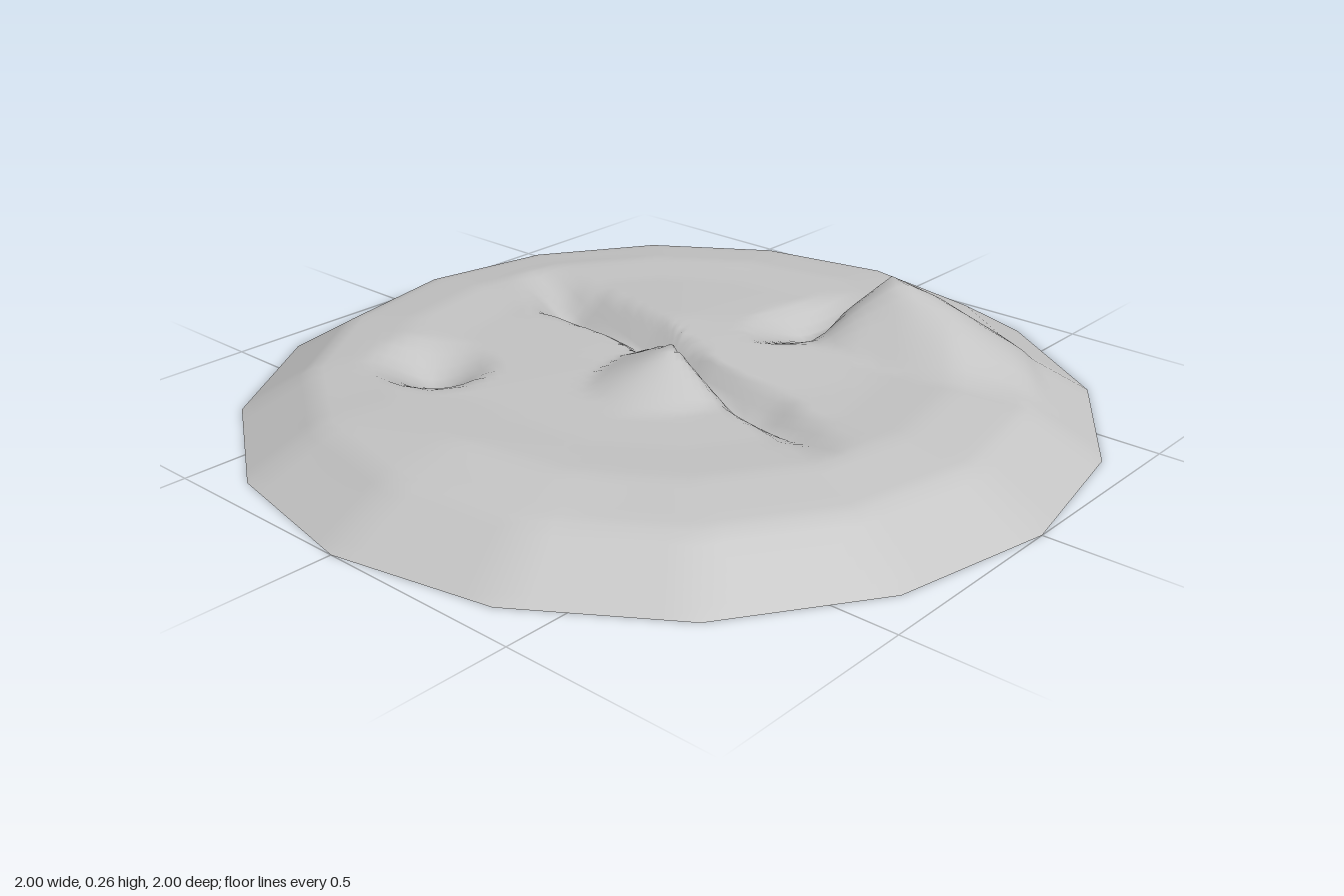
import * as THREE from 'three';
import { mergeVertices } from 'three/addons/utils/BufferGeometryUtils.js';

// Piecewise linear profile through [position, value] pairs
function profile(points, t) {
  for (let i = 1; i < points.length; i++) {
    const [a, va] = points[i - 1], [b, vb] = points[i];
    if (t <= b) return va + (vb - va) * Math.max(0, (t - a) / (b - a));
  }
  return points[points.length - 1][1];
}

// Mound height from centre to rim
const MOUND = [[0, 0.125], [0.5, 0.115], [0.66, 0.122], [0.83, 0.1], [1, 0]];

// Peaks and hollows: centre, height, reach to -x, +x, -z, +z
const FEATURES = [
  { x: 0.45, z: 0.3, h: 0.145, reach: [0.2, 0.22, 0.14, 0.42] },
  { x: -0.1, z: 0.1, h: 0.078, reach: [0.22, 0.07, 0.16, 0.18] },
  { x: 0.36, z: 0.12, h: -0.06, reach: [0.2, 0.25, 0.1, 0.1] },
  { x: -0.41, z: -0.36, h: -0.07, reach: [0.14, 0.14, 0.17, 0.13] },
  { x: 0.15, z: -0.1, h: 0.022, reach: [0.3, 0.4, 0.6, 0.5] },
  { x: -0.67, z: 0.0, h: 0.012, reach: [0.2, 0.2, 0.4, 0.4] },
];

// Gully floor: x, z, depth, half width
const GULLY = [
  [0.17, -0.64, 0, 0.05], [0.08, -0.4, 0.085, 0.1], [0.04, -0.15, 0.06, 0.08],
  [-0.04, 0.1, 0.07, 0.06], [-0.08, 0.33, 0.065, 0.08], [-0.18, 0.62, 0, 0.06],
];

function gullyDepth(x, z) {
  let depth = 0;
  for (let i = 1; i < GULLY.length; i++) {
    const [ax, az, ad, aw] = GULLY[i - 1], [bx, bz, bd, bw] = GULLY[i];
    const dx = bx - ax, dz = bz - az;
    const t = THREE.MathUtils.clamp(((x - ax) * dx + (z - az) * dz) / (dx * dx + dz * dz), 0, 1);
    const gap = Math.hypot(x - ax - t * dx, z - az - t * dz);
    const fall = Math.max(0, 1 - gap / (aw + (bw - aw) * t));
    depth = Math.max(depth, (ad + (bd - ad) * t) * fall);
  }
  return depth;
}

function heightAt(x, z, r) {
  let y = profile(MOUND, r);
  for (const f of FEATURES) {
    const dx = x - f.x, dz = z - f.z;
    const u = dx / f.reach[dx < 0 ? 0 : 1], v = dz / f.reach[dz < 0 ? 2 : 3];
    y += f.h * Math.max(0, 1 - Math.hypot(u, v));
  }
  y -= gullyDepth(x, z);
  return r > 0.9999 ? 0 : Math.max(0.01, y);
}

export function createModel() {
  const group = new THREE.Group();
  group.name = 'terrainMound';
  const earth = new THREE.MeshStandardMaterial({ color: 0xc4c4c4, side: THREE.DoubleSide });
  earth.name = 'pale grey';

  // Round sheet with a sixteen-sided rim, raised by the height rule
  let sheet = new THREE.RingGeometry(0, 1, 96, 36);
  sheet.rotateX(-Math.PI / 2);
  const p = sheet.attributes.position, step = Math.PI / 8;
  for (let i = 0; i < p.count; i++) {
    const x = p.getX(i), z = p.getZ(i), r = Math.hypot(x, z);
    const angle = Math.atan2(z, x) + Math.PI * 2;
    const k = Math.cos(step / 2) / Math.cos((angle % step) - step / 2);
    p.setXYZ(i, x * k, heightAt(x * k, z * k, r), z * k);
  }
  sheet.deleteAttribute('normal');
  sheet.deleteAttribute('uv');
  sheet = mergeVertices(sheet, 1e-5);
  sheet.computeVertexNormals();

  const mound = new THREE.Mesh(sheet, earth);
  mound.name = 'moundSurface';
  group.add(mound);
  return group;
}
